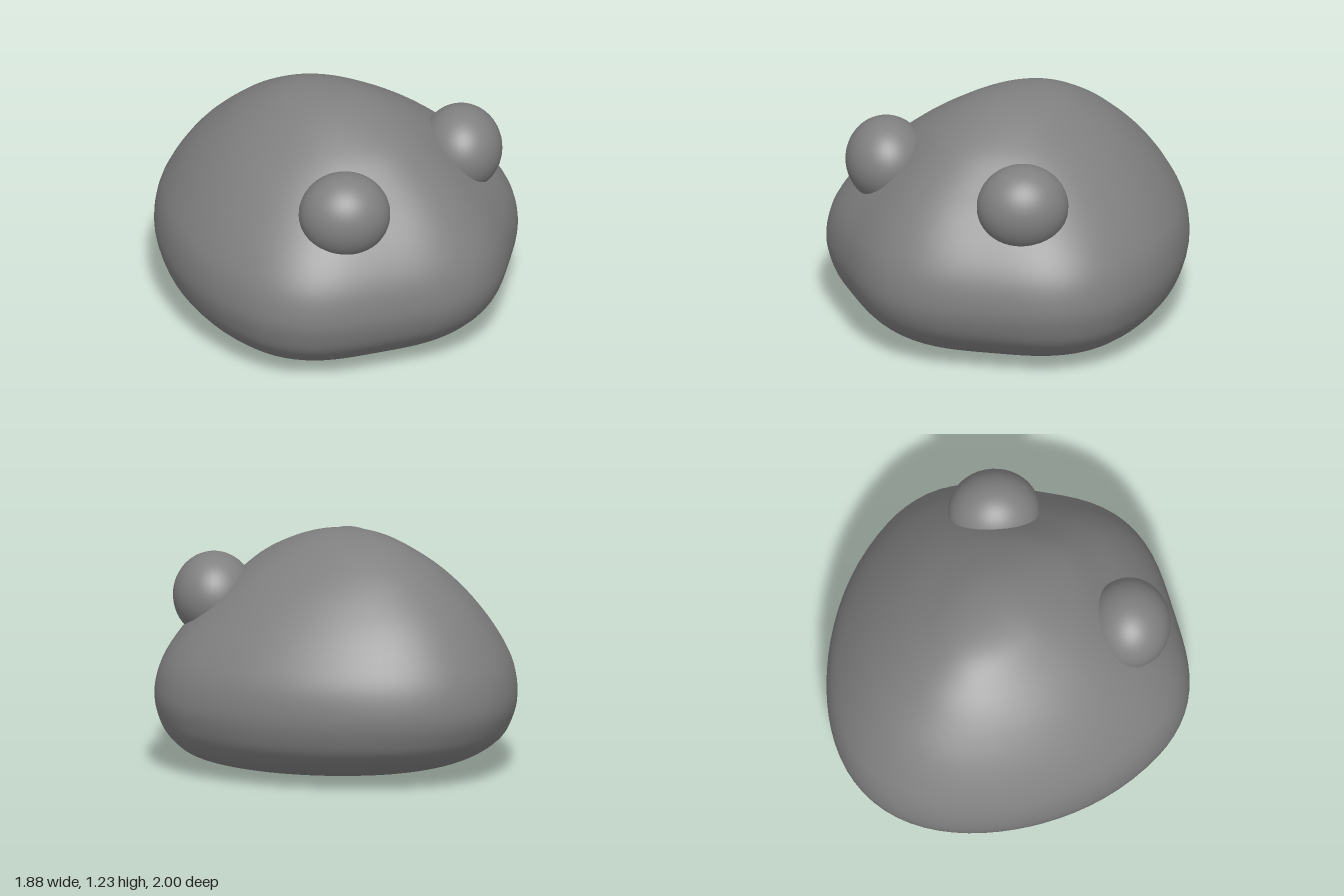
import * as THREE from 'three';

// Body layers from floor to crown:
// [height, half width, reach to front, reach to back, z of the widest point]
const LAYERS = [
  [0.003, 0, 0, 0, 0.1],
  [0.011, 0.35, 0.38, 0.36, 0.11],
  [0.03, 0.58, 0.49, 0.65, 0.14],
  [0.085, 0.77, 0.62, 0.9, 0.17],
  [0.18, 0.875, 0.72, 1.09, 0.19],
  [0.28, 0.922, 0.785, 1.16, 0.19],
  [0.4, 0.94, 0.81, 1.19, 0.19],
  [0.55, 0.91, 0.805, 1.145, 0.17],
  [0.7, 0.82, 0.755, 1.04, 0.14],
  [0.85, 0.69, 0.68, 0.88, 0.09],
  [0.98, 0.55, 0.57, 0.705, 0.05],
  [1.1, 0.38, 0.42, 0.525, 0.03],
  [1.2, 0.19, 0.21, 0.28, 0],
  [1.23, 0, 0, 0, 0],
];

// Smooth loft of egg-shaped rings, with a slightly pointed front
function bodyGeometry(rings = 78, sides = 80) {
  // Mirrored layers past both poles keep floor and crown rounded
  const mirror = ([y, w, f, b, c]) => [y, -w, -f, -b, c];
  const rows = [mirror(LAYERS[1]), ...LAYERS, mirror(LAYERS[LAYERS.length - 2])];
  const spline = (pick) =>
    new THREE.CatmullRomCurve3(rows.map((r) => new THREE.Vector3(...pick(r))), false, 'catmullrom', 0.5);
  const outline = spline(([y, w, f]) => [w, y, f]);
  const rear = spline(([, , , b, c]) => [b, c, 0]);

  const positions = [];
  const index = [];
  const last = rows.length - 1;
  for (let i = 0; i <= rings; i++) {
    const t = (1 + (i / rings) * (last - 2)) / last;
    const { x: width, y, z: front } = outline.getPoint(t);
    const { x: back, y: centre } = rear.getPoint(t);
    const fade = THREE.MathUtils.clamp((1.23 - y) / 0.3, 0, 1);
    for (let j = 0; j < sides; j++) {
      const a = (j / sides) * Math.PI * 2;
      const isFront = Math.sin(a) > 0;
      const depth = isFront ? 0.13 * Math.sin(a) ** 2 : 0.03;
      const pinch = 1 - depth * fade * Math.sin(2 * a) ** 2;
      positions.push(
        width * Math.cos(a) * pinch,
        y,
        centre + (isFront ? front : back) * Math.sin(a) * pinch,
      );
      if (i < rings) {
        const p = i * sides + j;
        const q = i * sides + ((j + 1) % sides);
        index.push(p, p + sides, q, q, p + sides, q + sides);
      }
    }
  }
  const geometry = new THREE.BufferGeometry();
  geometry.setAttribute('position', new THREE.Float32BufferAttribute(positions, 3));
  geometry.setIndex(index);
  geometry.computeVertexNormals();
  return geometry;
}

export function createModel() {
  const model = new THREE.Group();
  const material = new THREE.MeshStandardMaterial({ color: 0x808080 });

  const body = new THREE.Mesh(bodyGeometry(), material);
  body.name = 'body';
  model.add(body);

  // Slightly flattened eyes, half sunk into the upper front and facing outward
  const eyeGeometry = new THREE.SphereGeometry(1, 40, 28).scale(0.238, 0.225, 0.212);
  for (const [name, side] of [['leftEye', 1], ['rightEye', -1]]) {
    const eye = new THREE.Mesh(eyeGeometry, material);
    eye.name = name;
    eye.position.set(side * 0.47, 0.88, 0.483);
    eye.rotation.y = side * Math.PI / 4;
    model.add(eye);
  }
  return model;
}
